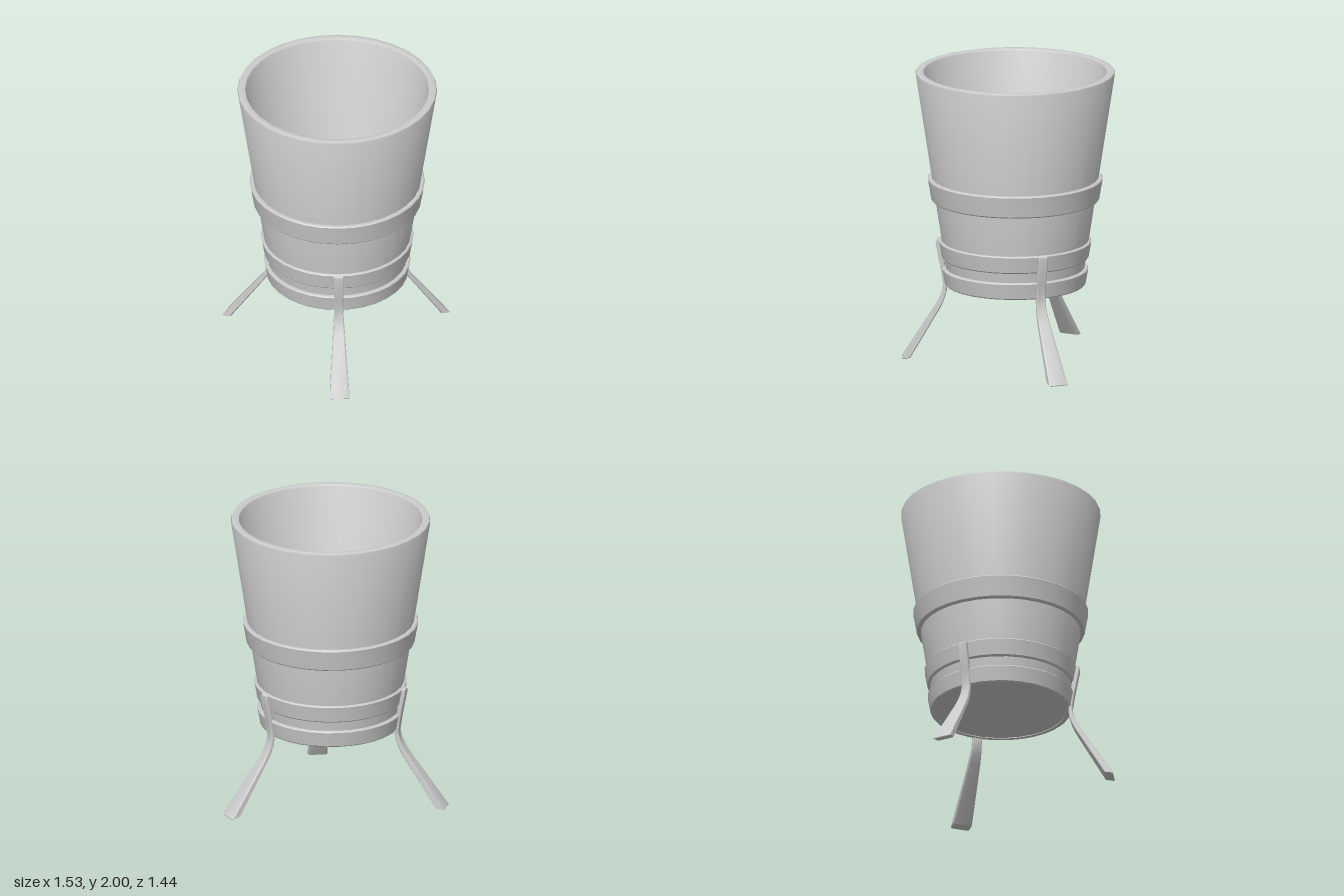
import * as THREE from 'three';
import { toCreasedNormals } from 'three/addons/utils/BufferGeometryUtils.js';

const material = new THREE.MeshStandardMaterial({ color: 0xcccccc });
const SIDES = 32;

function addMesh(parent, geometry, name) {
  const mesh = new THREE.Mesh(toCreasedNormals(geometry, 0.6), material);
  mesh.name = name;
  parent.add(mesh);
  return mesh;
}

// Revolves [radius, height] pairs about the tub axis
function turned(points) {
  return new THREE.LatheGeometry(points.map(([r, y]) => new THREE.Vector2(r, y)), SIDES);
}

// Outer radius of the tapered wall at height y
const wallRadius = (y) => 0.45 + (y - 0.53) * 0.153;

// Closed band that follows the taper of the wall
function hoop(y0, y1, thickness) {
  const b = 0.008;
  const inner = (y) => wallRadius(y) - 0.01;
  const outer = (y) => wallRadius(y) + thickness;
  return turned([
    [inner(y0), y0], [outer(y0) - b, y0], [outer(y0), y0 + b],
    [outer(y1), y1 - b], [outer(y1) - b, y1], [inner(y1), y1], [inner(y0), y0],
  ]);
}

// Bent strap leg running out along +z, broadening towards the foot
function legGeometry(spread) {
  const profile = [
    // outer edge, top to foot
    [0.515, 0.832], [0.532, 0.825], [0.535, 0.805], [0.5, 0.62], [0.485, 0.52],
    [0.495, 0.46], [0.515, 0.41], [0.542, 0.36], [0.765, 0.005], [0.762, 0],
    // inner edge, foot to top
    [0.705, 0.01], [0.5, 0.36], [0.478, 0.41], [0.463, 0.46], [0.458, 0.52],
    [0.472, 0.62], [0.495, 0.815],
  ];
  const shape = new THREE.Shape(profile.map(([r, y]) =>
    new THREE.Vector2(r + spread * Math.max(0, 1 - y / 0.5), y)));
  const width = 0.064;
  const bevel = 0.006;
  const geometry = new THREE.ExtrudeGeometry(shape, {
    depth: width - 2 * bevel, bevelEnabled: true, bevelSegments: 1,
    bevelSize: bevel, bevelThickness: bevel, bevelOffset: -bevel,
  });
  geometry.translate(0, 0, bevel - width / 2);
  geometry.rotateY(-Math.PI / 2);
  const pos = geometry.attributes.position;
  for (let i = 0; i < pos.count; i++) {
    const flare = 1 + 1.1 * Math.max(0, 1 - pos.getY(i) / 0.48);
    pos.setX(i, pos.getX(i) * flare);
  }
  return geometry;
}

export function createModel() {
  const model = new THREE.Group();
  model.name = 'bucketOnStand';

  const assembly = new THREE.Group();
  assembly.name = 'bucketAssembly';
  assembly.position.set(0.005, 0, -0.046);
  model.add(assembly);

  // Hollow tapered tub with softened rim and floor corner
  addMesh(assembly, turned([
    [0, 0.53], [wallRadius(0.53), 0.53],
    [wallRadius(1.985), 1.985], [0.668, 1.996], [0.658, 2],
    [0.63, 2], [0.62, 1.996], [0.613, 1.985],
    [0.425, 0.64], [0.412, 0.61], [0.385, 0.6], [0, 0.6],
  ]), 'tub');

  // Hoops
  addMesh(assembly, hoop(0.525, 0.642, 0.026), 'bottomHoop');
  addMesh(assembly, hoop(0.71, 0.832, 0.018), 'middleHoop');
  addMesh(assembly, hoop(1.112, 1.266, 0.028), 'topHoop');

  // Three legs, the rear pair spreading slightly wider
  const legs = [
    ['frontLeg', 0.018, 0],
    ['rearRightLeg', Math.atan2(-0.75, -0.325), 0.052],
    ['rearLeftLeg', Math.atan2(0.734, -0.355), 0.05],
  ];
  for (const [name, angle, spread] of legs) {
    addMesh(assembly, legGeometry(spread), name).rotation.y = angle;
  }

  return model;
}
